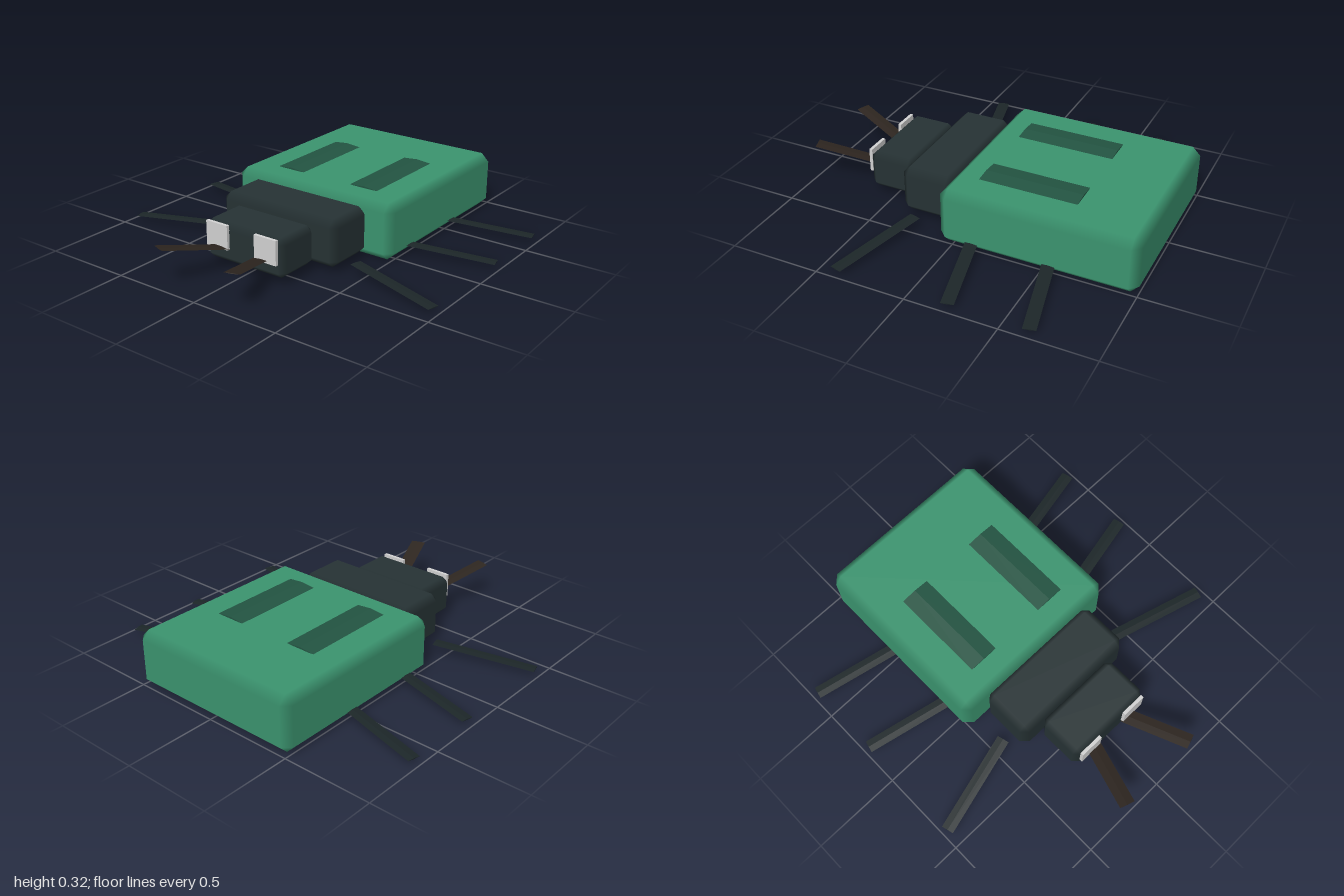
import * as THREE from 'three';
import { ConvexGeometry } from 'three/addons/geometries/ConvexGeometry.js';

const mat = (name, color) => {
  const m = new THREE.MeshStandardMaterial({ color });
  m.name = name;
  return m;
};

// Box with cut edges; normals follow the flat sides so the cuts shade softly
function chamferBox(w, h, d, c) {
  const half = [w / 2, h / 2, d / 2];
  const pts = [];
  for (let axis = 0; axis < 3; axis++)
    for (const sx of [-1, 1]) for (const sy of [-1, 1]) for (const sz of [-1, 1]) {
      const s = [sx, sy, sz];
      pts.push(new THREE.Vector3(...half.map((v, i) => s[i] * (i === axis ? v : v - c))));
    }
  const geo = new ConvexGeometry(pts);
  const p = geo.attributes.position, n = geo.attributes.normal;
  for (let i = 0; i < p.count; i++) {
    const v = [p.getX(i), p.getY(i), p.getZ(i)];
    n.setXYZ(i, ...v.map((q, k) => (Math.abs(q) > half[k] - c * 0.5 ? Math.sign(q) : 0)));
  }
  return geo;
}

// Thin strip from a to b with a low ridge along its middle
function strip(a, b, width, thickness) {
  const A = new THREE.Vector3(...a), B = new THREE.Vector3(...b);
  const dir = B.clone().sub(A).normalize();
  const side = new THREE.Vector3(0, 1, 0).cross(dir).normalize();
  const up = dir.clone().cross(side);
  const pts = [];
  for (const end of [A, B])
    for (const s of [-1, 1])
      pts.push(
        end.clone().addScaledVector(side, (s * width) / 2),
        end.clone().addScaledVector(up, (s * thickness) / 2)
      );
  return new ConvexGeometry(pts);
}

export function createModel() {
  const group = new THREE.Group();
  group.name = 'beetle';
  const green = mat('shell green', 0x3b946f);
  const darkGreen = mat('stripe green', 0x235442);
  const dark = mat('body black', 0x263234);
  const legDark = mat('leg black', 0x1c2628);
  const brown = mat('antenna brown', 0x2d251f);
  const white = mat('eye white', 0xd2d2d2);

  const add = (name, geo, material, x = 0, y = 0, z = 0) => {
    const mesh = new THREE.Mesh(geo, material);
    mesh.name = name;
    mesh.position.set(x, y, z);
    group.add(mesh);
  };

  // Three body blocks
  add('abdomen', chamferBox(1.03, 0.315, 1.08, 0.045), green, 0, 0.1575, -0.46);
  add('thorax', chamferBox(0.745, 0.26, 0.3, 0.038), dark, 0, 0.16, 0.22);
  add('head', chamferBox(0.505, 0.215, 0.265, 0.032), dark, 0, 0.148, 0.5025);

  // Legs: root z and tip z for each pair
  const legs = { frontLeg: [0.26, 0.405], middleLeg: [-0.095, -0.22], backLeg: [-0.52, -0.645] };

  for (const s of [1, -1]) {
    const label = s > 0 ? 'Left' : 'Right';
    for (const [name, [z0, z1]] of Object.entries(legs))
      add(name + label, strip([s * 0.425, 0.052, z0], [s * 0.97, 0.026, z1], 0.068, 0.006), legDark);

    // Shell stripes
    add('shellStripe' + label, strip([s * 0.242, 0.317, -0.07], [s * 0.242, 0.317, -0.61], 0.172, 0.016), darkGreen);

    // Eyes and antennae
    add('eye' + label, new THREE.BoxGeometry(0.138, 0.134, 0.018), white, s * 0.156, 0.189, 0.643);
    add('antenna' + label, strip([s * 0.118, 0.128, 0.63], [s * 0.237, 0.216, 0.985], 0.083, 0.005), brown);
  }
  return group;
}
